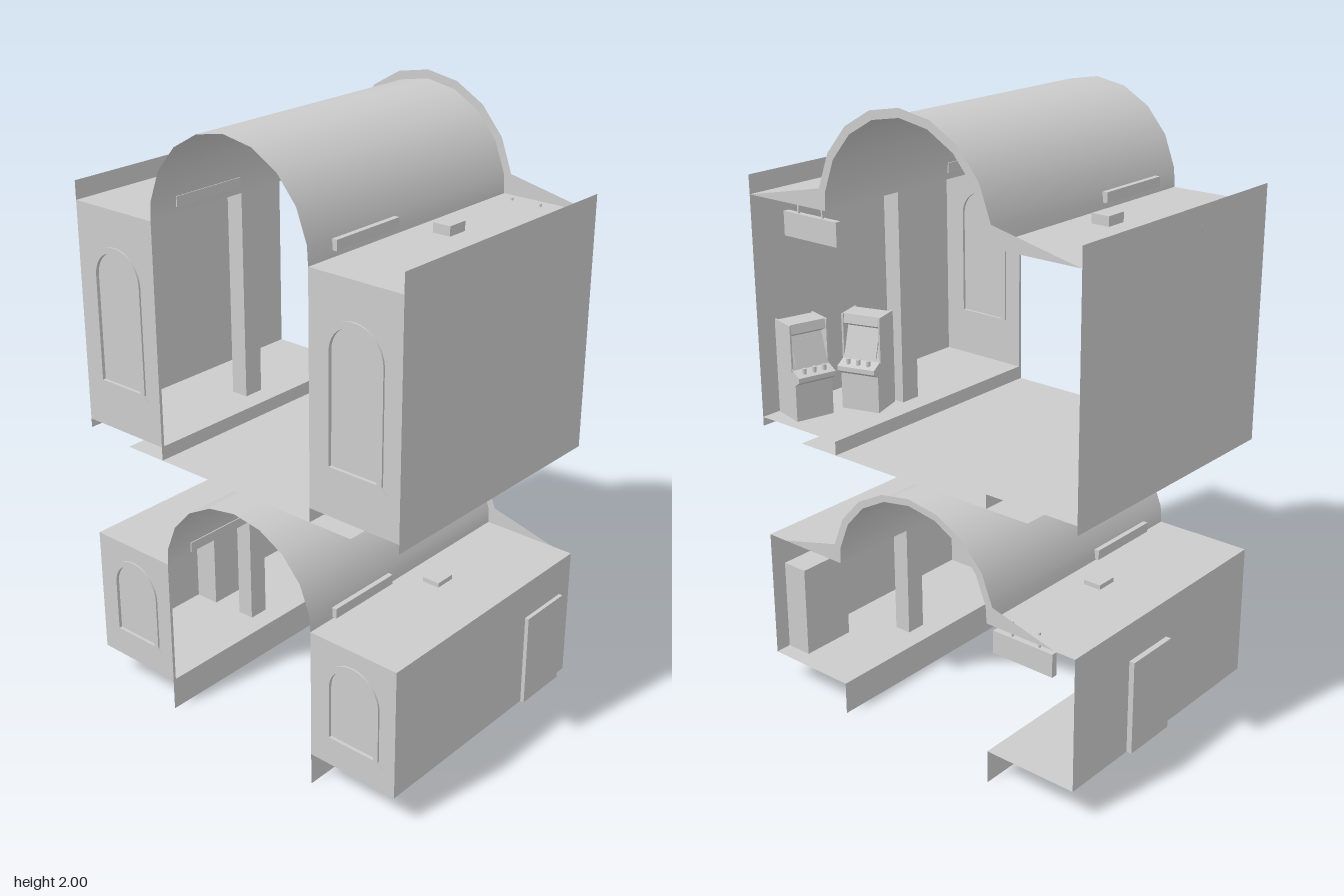
import * as THREE from 'three';

const material = new THREE.MeshStandardMaterial({ color: 0xcccccc, side: THREE.DoubleSide });
const DEPTH = 0.89, FRONT = 0.445, INNER = 0.3, OUTER = 0.622;

function add(parent, name, geometry, x = 0, y = 0, z = 0) {
  const mesh = new THREE.Mesh(geometry, material);
  mesh.name = name;
  mesh.position.set(x, y, z);
  parent.add(mesh);
  return mesh;
}

// Box given by its limits on each axis
function box(parent, name, x0, x1, y0, y1, z0, z1) {
  return add(parent, name, new THREE.BoxGeometry(Math.abs(x1 - x0), y1 - y0, z1 - z0),
    (x0 + x1) / 2, (y0 + y1) / 2, (z0 + z1) / 2);
}

// Thin sheets: level, and upright along the hall
function level(parent, name, x0, x1, y) {
  add(parent, name, new THREE.PlaneGeometry(Math.abs(x1 - x0), DEPTH).rotateX(-Math.PI / 2), (x0 + x1) / 2, y, 0);
}
function upright(parent, name, x, y0, y1) {
  add(parent, name, new THREE.PlaneGeometry(DEPTH, y1 - y0).rotateY(Math.PI / 2), x, (y0 + y1) / 2, 0);
}

function extrude(shape, depth) {
  return new THREE.ExtrudeGeometry(shape, { depth, bevelEnabled: false, curveSegments: 12 });
}

// Half-ellipse points from right to left
function arc(rx, ry, y) {
  const points = [];
  for (let i = 0; i <= 8; i++) {
    const a = THREE.MathUtils.degToRad(11 + i * 19.75);
    points.push(new THREE.Vector2(rx * Math.cos(a), y + ry * Math.sin(a)));
  }
  return points;
}

// Arched opening outline, used as a shape or a hole
function archOutline(Type, half, bottom, top) {
  const p = new Type();
  p.moveTo(-half, bottom);
  p.lineTo(half, bottom);
  p.lineTo(half, top - half);
  p.absarc(0, top - half, half, 0, Math.PI, false);
  p.lineTo(-half, bottom);
  return p;
}

// Barrel vault sheet plus the flat rim with sloping shoulders at the back
function vault(parent, y, innerRise, outerRise, shoulder) {
  const inner = [new THREE.Vector2(INNER, y), ...arc(INNER + 0.002, innerRise, y), new THREE.Vector2(-INNER, y)];
  const positions = [], index = [];
  inner.forEach((p, i) => {
    positions.push(p.x, p.y, FRONT, p.x, p.y, -FRONT);
    if (i) {
      const a = 2 * i - 2;
      index.push(a, a + 1, a + 2, a + 1, a + 3, a + 2);
    }
  });
  const sheet = new THREE.BufferGeometry();
  sheet.setAttribute('position', new THREE.Float32BufferAttribute(positions, 3));
  sheet.setIndex(index);
  sheet.computeVertexNormals();
  add(parent, 'vault', sheet);

  const rim = [new THREE.Vector2(shoulder, y), ...arc(0.328, outerRise, y), new THREE.Vector2(-shoulder, y),
    ...inner.slice().reverse()];
  add(parent, 'vaultRim', new THREE.ShapeGeometry(new THREE.Shape(rim)), 0, 0, -FRONT);
}

// Front wall with an arched window, trim on both faces and a sill
function frontWall(parent, side, y0, y1, sillY, archTop) {
  const g = new THREE.Group();
  g.name = 'frontWall';
  g.position.x = side * (INNER + OUTER) / 2;
  parent.add(g);
  const half = (OUTER - INNER) / 2;
  const wall = new THREE.Shape([[-half, y0], [half, y0], [half, y1], [-half, y1]].map(p => new THREE.Vector2(...p)));
  wall.holes.push(archOutline(THREE.Path, 0.09, sillY + 0.02, archTop - 0.012));
  add(g, 'frontPanel', extrude(wall, 0.01), 0, 0, FRONT - 0.01);
  add(g, 'windowPane', new THREE.ShapeGeometry(archOutline(THREE.Shape, 0.09, sillY + 0.02, archTop - 0.012)), 0, 0, FRONT - 0.005);
  const trim = archOutline(THREE.Shape, 0.102, sillY + 0.02, archTop);
  trim.holes.push(archOutline(THREE.Path, 0.085, sillY + 0.022, archTop - 0.017));
  add(g, 'windowTrim', extrude(trim, 0.02), 0, 0, FRONT - 0.014);
  const sill = new THREE.Shape([[-0.118, sillY], [0.118, sillY], [0.1, sillY + 0.02], [-0.1, sillY + 0.02]]
    .map(p => new THREE.Vector2(...p)));
  add(g, 'windowSill', extrude(sill, 0.02), 0, 0, FRONT - 0.014);
}

// Sign hung across the platform near the back
function hangingSign(parent, side, y, ceiling) {
  box(parent, 'hangingSign', side * 0.295, side * 0.515, y, y + 0.075, -0.41, -0.39);
  for (const x of [0.36, 0.46])
    box(parent, 'signHanger', side * x - 0.003, side * x + 0.003, y + 0.07, ceiling + 0.008, -0.403, -0.397);
}

// Game cabinet: side profile extruded across its width, screen facing local +z
function gameCabinet(parent, x, y, z, turn) {
  const g = new THREE.Group();
  g.name = 'gameCabinet';
  g.position.set(x, y, z);
  g.rotation.y = turn;
  parent.add(g);
  const w = 0.13;
  const profile = [[-0.065, 0], [0.05, 0], [0.05, 0.12], [0.075, 0.135], [0.075, 0.15], [0.035, 0.165],
    [0.0, 0.265], [0.03, 0.28], [0.025, 0.31], [-0.05, 0.31], [-0.065, 0.29]];
  const body = extrude(new THREE.Shape(profile.map(p => new THREE.Vector2(...p))), w);
  body.translate(0, 0, -w / 2).rotateY(-Math.PI / 2);
  add(g, 'cabinetBody', body);
  const screen = add(g, 'screenFrame', new THREE.BoxGeometry(0.105, 0.085, 0.008), 0, 0.214, 0.019);
  screen.rotation.x = -0.337;
  for (const s of [-1, 1])
    box(g, 'cabinetSide', s * 0.061, s * 0.067, 0.16, 0.31, -0.06, 0.033);
  for (const kx of [-0.035, 0.0, 0.035])
    add(g, 'controlKnob', new THREE.CylinderGeometry(0.007, 0.007, 0.02, 8), kx, 0.163, 0.056);
}

export function createModel() {
  const model = new THREE.Group();
  model.name = 'twoLevelHall';
  const floors = [
    { name: 'lowerHall', floor: 0.11, riser: 0, ceiling: 0.545, wallBottom: 0.11, wallTop: 0.545, sill: 0.19, arch: 0.49,
      inner: 0.285, outer: 0.307, shoulder: 0.55, pillarTop: 0.56, pillarBottom: 0, light: 0.55 },
    { name: 'upperHall', floor: 0.955, riser: 0.91, ceiling: 1.67, wallBottom: 0.925, wallTop: 1.73, sill: 1.09, arch: 1.555,
      inner: 0.303, outer: 0.33, shoulder: 0.62, pillarTop: 1.7, pillarBottom: 0.955, light: 1.69 },
  ];
  for (const f of floors) {
    const hall = new THREE.Group();
    hall.name = f.name;
    model.add(hall);
    vault(hall, f.ceiling, f.inner, f.outer, f.shoulder);
    for (const s of [-1, 1]) {
      level(hall, 'platform', s * INNER, s * OUTER, f.floor);
      level(hall, 'ceiling', s * INNER, s * OUTER, f.ceiling);
      upright(hall, 'platformEdge', s * INNER, f.riser, f.floor);
      upright(hall, 'sideWall', s * OUTER, f.wallBottom, f.wallTop);
      frontWall(hall, s, f.floor, f.ceiling, f.sill, f.arch);
      box(hall, 'pillar', s * 0.37, s * 0.43, f.pillarBottom, f.pillarTop, -0.07, 0);
      box(hall, 'ceilingLight', s * 0.294, s * 0.314, f.light, f.light + 0.032, 0.08, 0.345);
    }
  }
  const [lower, upper] = model.children;

  // Tall lockers against the lower side walls
  box(lower, 'leftLocker', 0.53, 0.635, 0.11, 0.42, -0.39, -0.2);
  box(lower, 'rightLocker', -0.64, -0.535, 0.11, 0.42, -0.18, 0.01);
  hangingSign(lower, -1, 0.43, 0.545);

  // Sunken way between the upper platforms
  level(upper, 'sunkenFloor', -0.45, 0.45, 0.91);
  hangingSign(upper, 1, 1.555, 1.67);
  gameCabinet(upper, 0.54, 0.955, -0.33, -Math.PI / 2 - 0.25);
  gameCabinet(upper, 0.44, 0.955, -0.16, -Math.PI + 0.3);
  return model;
}
